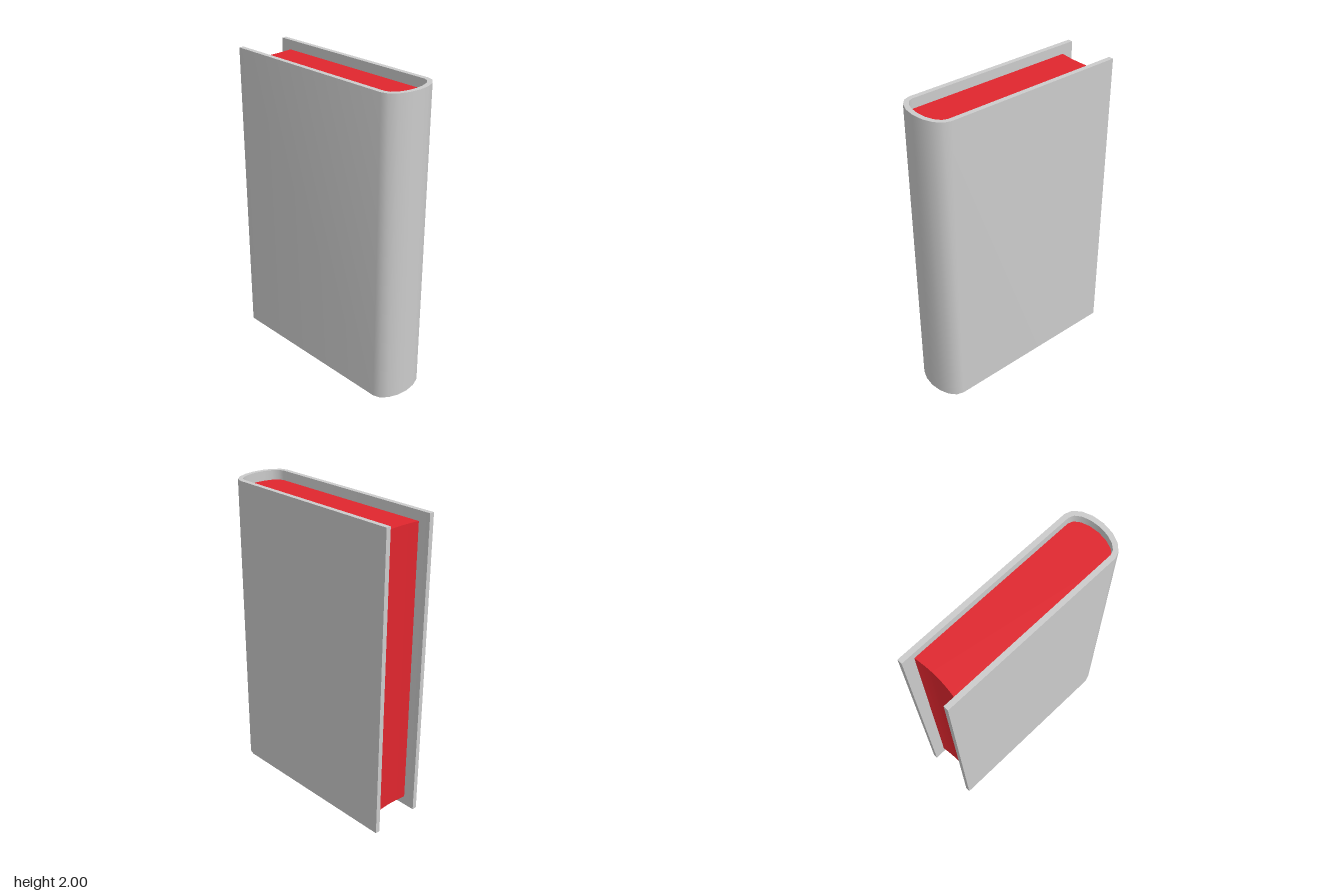
import * as THREE from 'three';
import { toCreasedNormals } from 'three/addons/utils/BufferGeometryUtils.js';

const HEIGHT = 2;
const OUTER = 0.19;      // half thickness over the boards
const INNER = 0.158;     // half thickness of the page block
const FRONT = -0.663;    // open edge of the boards
const SPINE_START = 0.55;
const RECESS = 0.062;    // pages set back from the top and bottom

// Half-ellipse round the spine, from -halfDepth to +halfDepth
function spineArc(bulge, halfDepth, steps = 8) {
  const points = [];
  for (let i = 0; i <= steps; i++) {
    const a = -Math.PI / 2 + (Math.PI * i) / steps;
    points.push(new THREE.Vector2(SPINE_START + bulge * Math.cos(a), halfDepth * Math.sin(a)));
  }
  return points;
}

// Extrude a plan outline upward from y = bottom
function upright(name, points, bottom, height, color) {
  const geometry = new THREE.ExtrudeGeometry(new THREE.Shape(points), { depth: height, bevelEnabled: false });
  geometry.rotateX(-Math.PI / 2);
  geometry.translate(0, bottom, 0);
  const mesh = new THREE.Mesh(toCreasedNormals(geometry, 0.7), new THREE.MeshStandardMaterial({ color }));
  mesh.name = name;
  return mesh;
}

export function createModel() {
  const book = new THREE.Group();
  book.name = 'book';
  const outerArc = spineArc(0.113, OUTER);
  const innerArc = spineArc(0.081, INNER);

  // Cover: two boards joined by the rounded spine
  const cover = [
    new THREE.Vector2(FRONT, -OUTER), ...outerArc, new THREE.Vector2(FRONT, OUTER),
    new THREE.Vector2(FRONT, INNER), ...innerArc.slice().reverse(), new THREE.Vector2(FRONT, -INNER),
  ];
  book.add(upright('cover', cover, 0, HEIGHT, 0xcccccc));

  // Page block with a hollow fore-edge
  const foreEdge = [];
  for (let i = 0; i <= 8; i++) {
    const t = 1 - i / 4;
    foreEdge.push(new THREE.Vector2(-0.572 - 0.014 * t * t, INNER * t));
  }
  book.add(upright('pages', [...innerArc, ...foreEdge], RECESS, HEIGHT - 2 * RECESS, 0xe0262e));

  return book;
}
